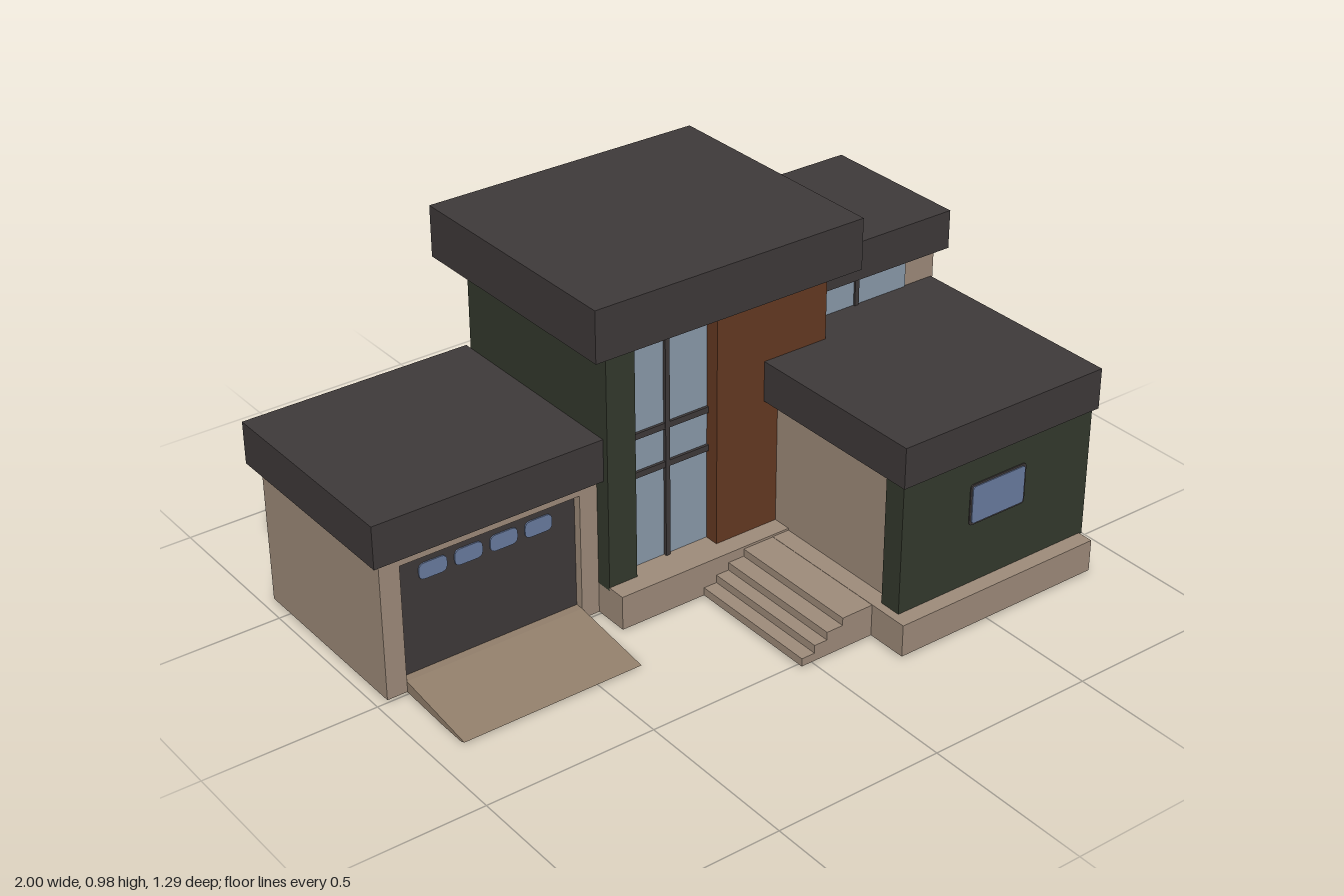
import * as THREE from 'three';

const mat = (name, color) => {
  const m = new THREE.MeshStandardMaterial({ color });
  m.name = name;
  return m;
};

export function createModel() {
  const house = new THREE.Group();
  house.name = 'house';

  const tan = mat('tanWall', 0x9f8c7b);
  const dark = mat('darkTrim', 0x3f3a3a);
  const green = mat('greenWall', 0x343a2d);
  const rust = mat('rustWall', 0x653a22);
  const glass = mat('paleGlass', 0x8b9bac);
  const blue = mat('blueGlass', 0x6a7ca0);
  const paving = mat('paving', 0x93806c);

  const add = (name, geometry, material, z = 0) => {
    const mesh = new THREE.Mesh(geometry, material);
    mesh.name = name;
    mesh.position.z = z;
    house.add(mesh);
    return mesh;
  };

  // Box given by its low and high limit on each axis
  const box = (name, m, x0, x1, y0, y1, z0, z1) => {
    const g = new THREE.BoxGeometry(x1 - x0, y1 - y0, z1 - z0);
    g.translate((x0 + x1) / 2, (y0 + y1) / 2, (z0 + z1) / 2);
    return add(name, g, m);
  };

  // Thin pane with rounded corners, facing the front
  const pane = (name, m, x0, x1, y0, y1, r, z, depth) => {
    const s = new THREE.Shape();
    s.moveTo(x0 + r, y0).lineTo(x1 - r, y0);
    s.quadraticCurveTo(x1, y0, x1, y0 + r).lineTo(x1, y1 - r);
    s.quadraticCurveTo(x1, y1, x1 - r, y1).lineTo(x0 + r, y1);
    s.quadraticCurveTo(x0, y1, x0, y1 - r).lineTo(x0, y0 + r);
    s.quadraticCurveTo(x0, y0, x0 + r, y0);
    return add(name, new THREE.ExtrudeGeometry(s, { depth, bevelEnabled: false, curveSegments: 4 }), m, z);
  };

  // Foundation slabs
  box('mainSlab', tan, -0.31, 1, 0.008, 0.11, -0.645, 0.107);
  box('frontSlab', tan, 0.195, 0.872, 0.008, 0.104, 0.107, 0.645);

  // Entry steps, climbing towards +x
  const steps = new THREE.Shape();
  steps.moveTo(0.195, 0.008);
  steps.lineTo(0.195, 0.103);
  [[0.095, 0.103], [0.043, 0.08], [0.002, 0.056], [-0.04, 0.032]].forEach(([x, y], i, all) => {
    steps.lineTo(x, y);
    steps.lineTo(x, i < 3 ? all[i + 1][1] : 0.008);
  });
  add('entrySteps', new THREE.ExtrudeGeometry(steps, { depth: 0.415, bevelEnabled: false }), tan, 0.107);

  // Tower: body, tall side wall, rust panel and roof
  box('towerBody', tan, -0.22, 0.41, 0.11, 0.83, -0.58, 0);
  box('towerSideWall', green, -0.31, -0.22, 0.1, 0.83, -0.585, 0.05);
  box('towerRustWall', rust, 0.045, 0.412, 0.11, 0.83, 0, 0.05);
  box('towerRoof', dark, -0.38, 0.482, 0.83, 0.98, -0.645, 0.108);

  // Tall entrance glazing with bars
  box('towerGlass', glass, -0.22, 0.045, 0.11, 0.83, 0, 0.006);
  box('towerMullion', dark, -0.098, -0.084, 0.11, 0.83, 0, 0.016);
  for (const y of [0.395, 0.512]) box('towerTransom', dark, -0.22, 0.045, y - 0.009, y + 0.009, 0, 0.014);

  // Right wing with its upper window
  box('wingBody', tan, 0.41, 0.893, 0.11, 0.705, -0.475, -0.06);
  box('wingRoof', dark, 0.41, 0.925, 0.705, 0.82, -0.503, -0.035);
  box('wingGlass', glass, 0.415, 0.785, 0.5, 0.705, -0.06, -0.054);
  box('wingMullion', dark, 0.598, 0.612, 0.5, 0.705, -0.06, -0.048);

  // Front room
  box('frontRoomBody', tan, 0.25, 0.85, 0.104, 0.5, -0.008, 0.53);
  box('frontRoomWall', green, 0.22, 0.882, 0.1, 0.5, 0.53, 0.597);
  box('frontRoomRoof', dark, 0.203, 0.885, 0.5, 0.62, -0.058, 0.617);
  pane('frontWindowFrame', dark, 0.452, 0.648, 0.287, 0.411, 0.012, 0.597, 0.003);
  pane('frontWindow', blue, 0.458, 0.642, 0.293, 0.405, 0.01, 0.597, 0.006);

  // Garage: walls around a recessed door
  box('garageBody', tan, -0.97, -0.31, 0.008, 0.43, -0.58, -0.035);
  box('garagePier', tan, -0.97, -0.91, 0.008, 0.43, -0.035, 0);
  box('garagePier', tan, -0.365, -0.31, 0.008, 0.43, -0.035, 0);
  box('garageLintel', tan, -0.91, -0.365, 0.39, 0.43, -0.035, 0);
  box('garageRoof', dark, -1, -0.31, 0.43, 0.555, -0.607, 0.032);
  box('garageDoor', dark, -0.91, -0.365, 0.04, 0.39, -0.035, -0.025);
  for (let i = 0; i < 4; i++) {
    const x = -0.801 + i * 0.107;
    pane('garageWindow', blue, x - 0.042, x + 0.042, 0.308, 0.356, 0.018, -0.025, 0.004);
  }

  // Driveway ramp: side profile swept across the door
  const ramp = new THREE.Shape();
  ramp.moveTo(0.035, 0.008).lineTo(0.035, 0.04).lineTo(0, 0.04);
  ramp.lineTo(-0.265, 0.006).lineTo(-0.25, 0).lineTo(-0.17, 0);
  const rampGeo = new THREE.ExtrudeGeometry(ramp, { depth: 0.545, bevelEnabled: false });
  rampGeo.rotateY(Math.PI / 2);
  rampGeo.translate(-0.91, 0, 0);
  add('drivewayRamp', rampGeo, paving);

  return house;
}
